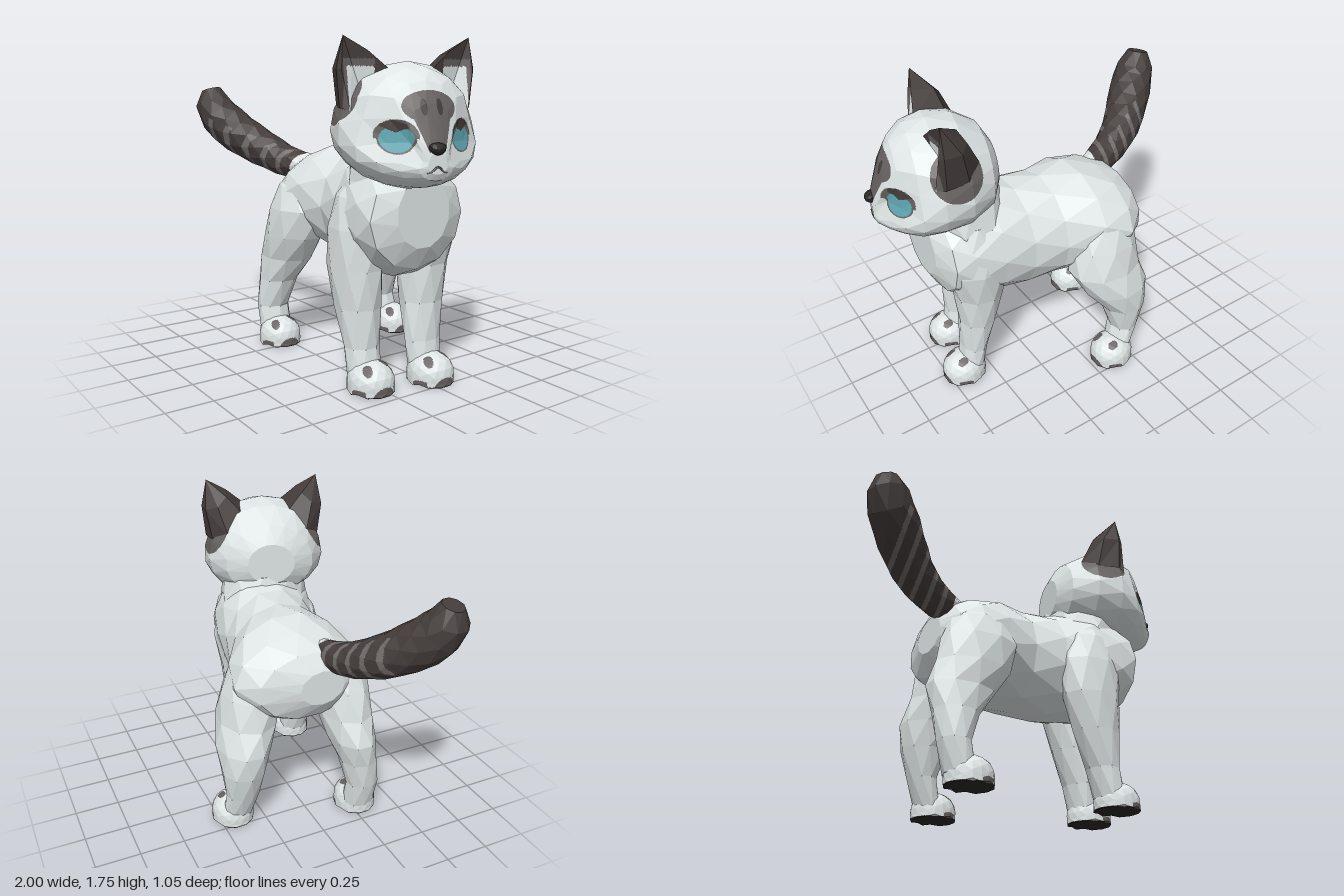
import * as THREE from 'three';

const mat = (name, color) => {
  const m = new THREE.MeshStandardMaterial({ color });
  m.name = name;
  return m;
};
const FUR = 0, DARK = 1, MASK = 2, STRIPE = 3, EYE = 4, SOLE = 5;
const V = (x, y, z) => new THREE.Vector3(x, y, z);
// squared distance in units of an ellipse's radii
const oval = (a, b, ca, cb, ra, rb) => ((a - ca) / ra) ** 2 + ((b - cb) / rb) ** 2;

// Skin a list of cross-sections; place(row, cos, sin, index) gives a ring point.
function loft(rows, sides, place) {
  const rings = rows.map((r, i) => Array.from({ length: sides }, (_, k) => {
    const a = (k + (i % 2) * 0.5) / sides * Math.PI * 2;
    return place(r, Math.cos(a), Math.sin(a), i);
  }));
  let tris = [];
  for (let i = 0; i + 1 < rings.length; i++) {
    const A = rings[i], B = rings[i + 1];
    for (let k = 0; k < sides; k++) {
      const n = (k + 1) % sides;
      if (i % 2) tris.push([A[k], A[n], B[n]], [A[k], B[n], B[k]]);
      else tris.push([A[k], A[n], B[k]], [A[n], B[n], B[k]]);
    }
  }
  const cap = (ring, flip) => {
    const c = V(0, 0, 0);
    ring.forEach(p => c.addScaledVector(p, 1 / sides));
    ring.forEach((p, k) => {
      const q = ring[(k + 1) % sides];
      tris.push(flip ? [c, q, p] : [c, p, q]);
    });
  };
  cap(rings[0], true);
  cap(rings[rings.length - 1], false);
  // turn the skin outward if its enclosed volume is negative
  const volume = tris.reduce((s, [a, b, c]) => s + a.dot(b.clone().cross(c)), 0);
  if (volume < 0) tris = tris.map(([a, b, c]) => [a, c, b]);
  return tris;
}

const trisOf = geometry => {
  const p = geometry.attributes.position;
  const v = i => V(0, 0, 0).fromBufferAttribute(p, i);
  return Array.from({ length: p.count / 3 }, (_, i) => [v(3 * i), v(3 * i + 1), v(3 * i + 2)]);
};

// Faceted mesh whose faces are cut finer along the borders of a colour rule.
function paint(name, tris, materials, rule = () => FUR, depth = 5) {
  const buckets = materials.map(() => []);
  const mid = (a, b) => a.clone().add(b).multiplyScalar(0.5);
  const cut = (a, b, c, level) => {
    const ab = mid(a, b), bc = mid(b, c), ca = mid(c, a);
    const centre = a.clone().add(b).add(c).divideScalar(3);
    const m = rule(centre);
    const mixed = depth && (level < 2 || [a, b, c, ab, bc, ca].some(p => rule(p) !== m));
    if (mixed && level < depth) {
      cut(a, ab, ca, level + 1); cut(ab, b, bc, level + 1);
      cut(ca, bc, c, level + 1); cut(ab, bc, ca, level + 1);
    } else for (const p of [a, b, c]) buckets[m].push(p.x, p.y, p.z);
  };
  tris.forEach(t => cut(...t, 0));
  const g = new THREE.BufferGeometry();
  g.setAttribute('position', new THREE.Float32BufferAttribute(buckets.flat(), 3));
  let start = 0;
  buckets.forEach((b, i) => {
    if (b.length) g.addGroup(start, b.length / 3, i);
    start += b.length / 3;
  });
  g.computeVertexNormals();
  const mesh = new THREE.Mesh(g, materials);
  mesh.name = name;
  return mesh;
}

export function createModel() {
  const cat = new THREE.Group();
  cat.name = 'cat';
  const mats = [mat('pale fur', 0xdfe5e5), mat('dark fur', 0x443d3b), mat('mask fur', 0x656160),
    mat('tail stripe', 0x6f6a68), mat('eye teal', 0x5fa8b4), mat('sole black', 0x2b2626)];

  // Torso: x, top, bottom, z min, z max
  const torso = [[-0.43, 1.0, 0.8, -0.12, 0.14], [-0.37, 1.09, 0.7, -0.33, 0.26],
    [-0.25, 1.15, 0.65, -0.42, 0.32], [-0.09, 1.2, 0.6, -0.4, 0.31], [0.1, 1.18, 0.57, -0.31, 0.28],
    [0.28, 1.19, 0.55, -0.27, 0.32], [0.45, 1.23, 0.55, -0.25, 0.39], [0.6, 1.2, 0.57, -0.22, 0.41],
    [0.71, 1.15, 0.63, -0.18, 0.4], [0.765, 1.09, 0.74, -0.05, 0.28]];
  cat.add(paint('torso', loft(torso, 12, ([x, t, b, z0, z1], c, s) =>
    V(x, (t + b) / 2 + s * (t - b) / 2, (z0 + z1) / 2 + c * (z1 - z0) / 2)), mats, undefined, 0));

  // Upright limbs: y, x min, x max, z min, z max
  const column = ([y, x0, x1, z0, z1], c, s) =>
    V((x0 + x1) / 2 + c * (x1 - x0) / 2, y, (z0 + z1) / 2 + s * (z1 - z0) / 2);
  const columns = {
    neck: [[0.92, 0.36, 0.7, -0.17, 0.37], [1.06, 0.29, 0.75, -0.19, 0.36], [1.24, 0.335, 0.76, -0.15, 0.34]],
    leftFrontLeg: [[1.1, 0.4, 0.55, 0.16, 0.31], [0.98, 0.31, 0.6, 0.14, 0.385], [0.82, 0.26, 0.64, 0.14, 0.42],
      [0.62, 0.27, 0.62, 0.17, 0.425], [0.42, 0.33, 0.6, 0.18, 0.41], [0.22, 0.41, 0.59, 0.2, 0.39],
      [0.06, 0.455, 0.61, 0.2, 0.39]],
    rightFrontLeg: [[1.1, 0.46, 0.64, -0.17, 0.0], [0.98, 0.4, 0.7, -0.21, 0.04], [0.82, 0.36, 0.73, -0.23, 0.08],
      [0.62, 0.4, 0.68, -0.2, 0.075], [0.42, 0.45, 0.66, -0.17, 0.07], [0.22, 0.51, 0.66, -0.14, 0.07],
      [0.06, 0.54, 0.68, -0.13, 0.06]],
    leftHindLeg: [[1.03, -0.3, -0.16, 0.1, 0.22], [0.95, -0.39, -0.06, 0.07, 0.31], [0.82, -0.45, 0.0, 0.06, 0.36],
      [0.66, -0.49, -0.06, 0.07, 0.37], [0.52, -0.54, -0.16, 0.1, 0.36], [0.38, -0.52, -0.27, 0.15, 0.37],
      [0.22, -0.5, -0.33, 0.19, 0.38], [0.06, -0.46, -0.3, 0.19, 0.38]],
    rightHindLeg: [[1.03, -0.2, -0.08, -0.32, -0.16], [0.95, -0.29, 0.0, -0.4, -0.13],
      [0.82, -0.34, 0.05, -0.45, -0.12], [0.66, -0.36, 0.08, -0.48, -0.15], [0.52, -0.39, 0.0, -0.51, -0.21],
      [0.38, -0.37, -0.11, -0.505, -0.25], [0.22, -0.32, -0.16, -0.48, -0.29], [0.06, -0.26, -0.12, -0.49, -0.31]],
  };
  for (const [name, rows] of Object.entries(columns))
    cat.add(paint(name, loft(rows, 9, column), mats, undefined, 0));

  // Paws: domed above, upright sides, flat dark soles and toe spots
  const paws = { leftFrontPaw: [0.58, 0.295], rightFrontPaw: [0.655, -0.035],
    leftHindPaw: [-0.33, 0.29], rightHindPaw: [-0.145, -0.415] };
  for (const [name, [px, pz]] of Object.entries(paws)) {
    const tris = trisOf(new THREE.IcosahedronGeometry(1, 2));
    tris.flat().forEach(p => {
      const h = Math.hypot(p.x, p.z), k = p.y < 0 && h > 0.75 ? 1 / h : 1;
      p.set(px + p.x * k * 0.127, Math.max(0.006, 0.06 + p.y * 0.105), pz + p.z * k * 0.12);
    });
    cat.add(paint(name, tris, mats, p => {
      const x = p.x - px, z = p.z - pz;
      if (p.y < 0.011) return SOLE;
      if (x > 0.05 && oval(z, p.y, 0, 0.01, 0.06, 0.045) < 1) return MASK;
      if (p.y > 0.09 && (oval(x, z, 0.055, 0.06, 0.03, 0.022) < 1 || oval(x, z, 0.03, -0.055, 0.03, 0.022) < 1)) return MASK;
      if (Math.abs(z) > 0.09 && oval(x, p.y, 0.05, 0.02, 0.045, 0.02) < 1) return MASK;
      return FUR;
    }, 3));
  }

  // Tail: rings across a rising curve, with pale bars
  const path = new THREE.CatmullRomCurve3([V(-0.27, 1.05, 0.06), V(-0.44, 1.055, 0.12), V(-0.62, 1.125, 0.2),
    V(-0.78, 1.24, 0.325), V(-0.88, 1.36, 0.405), V(-0.915, 1.49, 0.42)]);
  const radii = [0.06, 0.078, 0.09, 0.098, 0.106, 0.114, 0.12, 0.125, 0.127, 0.122, 0.108, 0.06];
  const frames = path.computeFrenetFrames(radii.length - 1);
  const tail = loft(radii, 9, (r, c, s, i) => path.getPointAt(i / (radii.length - 1))
    .addScaledVector(frames.normals[i], r * c).addScaledVector(frames.binormals[i], r * s));
  cat.add(paint('tail', tail, mats, p => {
    const u = p.x - 0.25 * (p.y - 1.1) + 0.25 * (p.z - 0.15);
    if (u > -0.35) return FUR;
    const ridge = p.y - (1.06 + Math.max(0, -0.44 - p.x) * 0.5);
    const bar = (((-u - 0.36) / 0.085) % 1 + 1) % 1;
    return u > -0.78 && bar > 0.55 && bar < 0.87 && ridge < 0.08 ? STRIPE : DARK;
  }, 4));

  // Head, turned a little to its left
  const head = new THREE.Group();
  head.name = 'head';
  head.position.set(0.62, 0, 0.13);
  head.rotation.y = -0.24;
  cat.add(head);

  // Skull: x, top, bottom, half width, height of widest point, depth of the eye sockets
  const skull = [[-0.285, 1.44, 1.2, 0.14, 1.32, 0], [-0.23, 1.54, 1.12, 0.26, 1.31, 0],
    [-0.1, 1.62, 1.06, 0.345, 1.31, 0], [0.04, 1.64, 1.04, 0.36, 1.29, 0], [0.15, 1.61, 1.04, 0.325, 1.25, 0.1],
    [0.23, 1.55, 1.055, 0.25, 1.21, 0.28], [0.29, 1.45, 1.075, 0.17, 1.18, 0.36],
    [0.345, 1.29, 1.1, 0.09, 1.17, 0.3], [0.36, 1.23, 1.13, 0.05, 1.17, 0.1]];
  head.add(paint('skull', loft(skull, 18, ([x, t, b, w, m, n], c, s) =>
    V(x, m + s * (s > 0 ? t - m : m - b), c * w * (1 - n * Math.max(0, 1 - Math.abs(s - 0.3) / 0.4)))), mats, p => {
    const a = Math.abs(p.z), { x, y } = p;
    if (x > 0.1) {
      const e = p.z > 0 ? 0.16 : 0.18;
      const lid = y > 1.315 + 0.5 * Math.abs(a - e);
      if (!lid && oval(a, y, e, 1.285, 0.065, 0.06) < 1) return EYE;
      if (oval(a, y, e, 1.3, 0.085, 0.075) < 1 && y > 1.29) return lid && a > e - 0.05 ? DARK : MASK;
      if (oval(a, y, e, 1.285, 0.073, 0.067) < 1) return MASK;
      if (oval(a, y, 0.04, 1.43, 0.016, 0.038) < 1) return DARK;
      if (oval(a, y, 0, 1.43, 0.135, 0.075) < 1) return MASK;
      if (y > 1.23 && y < 1.44 && a < 0.04 + (y - 1.23) * 0.35) return MASK;
    }
    return x < 0.1 && Math.hypot(x + 0.04, y - 1.46, a - 0.3) < 0.135 ? MASK : FUR;
  }));

  // Ears: fans from a wide base to the tip, hollow in front with a pale tuft
  const earBase = [[0.08, 1.59, 0.1], [0.03, 1.5, 0.24], [0.08, 1.41, 0.31], [0.03, 1.42, 0.345],
    [-0.09, 1.42, 0.315], [-0.17, 1.46, 0.23], [-0.1, 1.56, 0.12]];
  for (const side of [1, -1]) {
    const ring = earBase.map(([x, y, z]) => V(x, y, z * side));
    const tip = V(0.035, 1.755, 0.33 * side);
    // mid ring swells outward so the back and outer sides are rounded
    const middle = ring.map((p, k) => p.clone().lerp(tip, 0.5)
      .add(V(k > 3 ? -0.03 : 0, k === 1 ? 0 : 0.015, k > 1 && k < 5 ? side * 0.025 : 0)));
    let tris = ring.flatMap((a, k) => {
      const n = (k + 1) % ring.length;
      return [[a, middle[k], ring[n]], [middle[k], middle[n], ring[n]], [middle[k], tip, middle[n]]];
    });
    if (side < 0) tris = tris.map(([a, b, c]) => [a, c, b]);
    head.add(paint(side > 0 ? 'leftEar' : 'rightEar', tris, mats, p => {
      const z = Math.abs(p.z);
      if (p.x > 0.02 && p.y < 1.615 && z > 0.18 && z < 0.315) return FUR;
      return p.x > 0.02 && p.y < 1.65 && z > 0.18 && z < 0.335 ? MASK : DARK;
    }, 4));
  }

  // Nose and mouth line
  const nose = trisOf(new THREE.IcosahedronGeometry(1, 1));
  nose.flat().forEach(p => p.set(0.355 + p.x * 0.034, 1.245 + p.y * 0.03, p.z * (0.042 + p.y * 0.012)));
  head.add(paint('nose', nose, mats, () => SOLE, 0));
  const lips = new THREE.CatmullRomCurve3([V(0.338, 1.135, -0.07), V(0.357, 1.14, -0.035), V(0.362, 1.165, 0),
    V(0.357, 1.14, 0.035), V(0.338, 1.135, 0.07)]);
  const mouth = new THREE.Mesh(new THREE.TubeGeometry(lips, 12, 0.005, 5), mats[MASK]);
  mouth.name = 'mouth';
  head.add(mouth);
  return cat;
}
